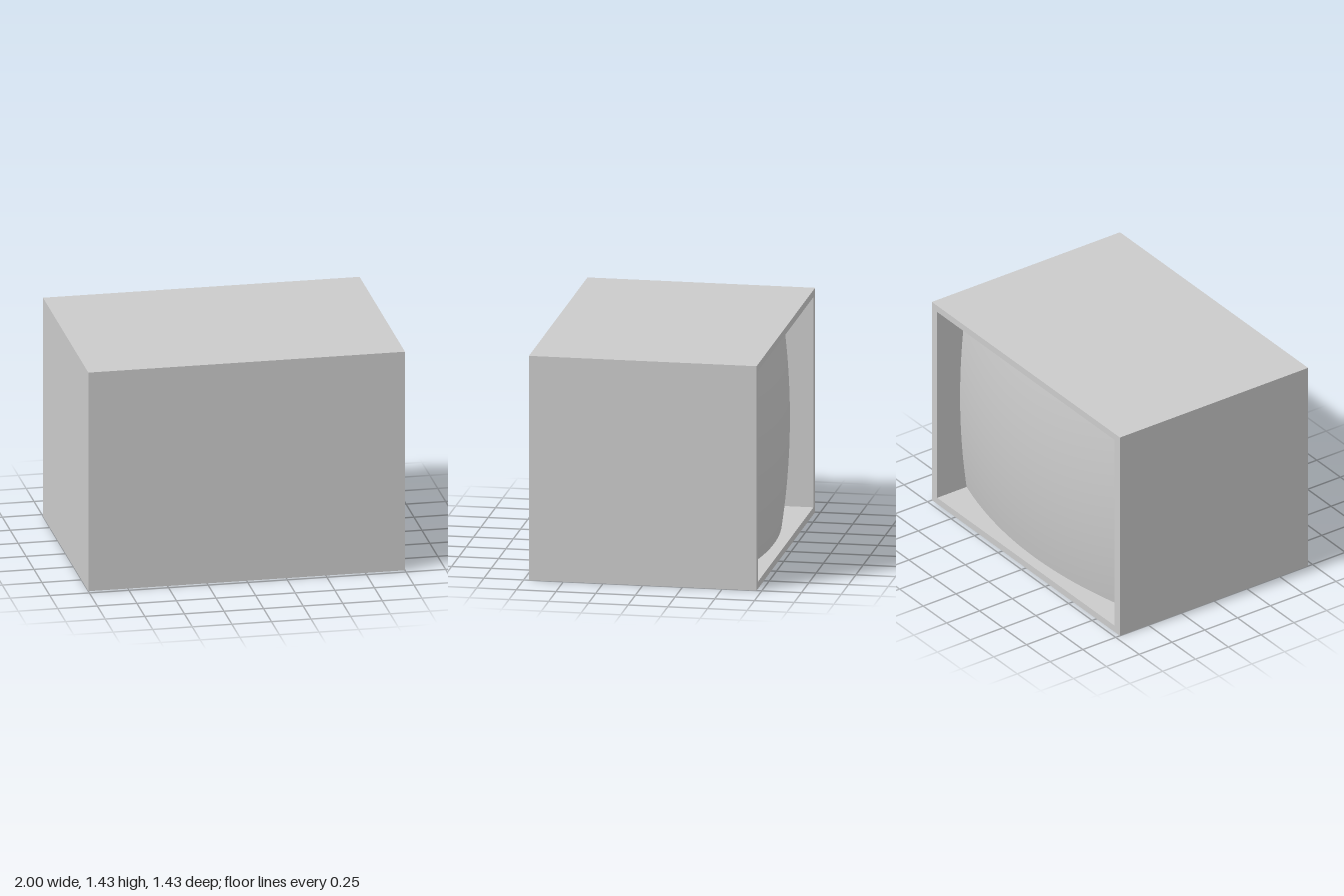
import * as THREE from 'three';

const W = 2, H = 1.434, D = 1.434;   // cabinet size
const RIM_X = 0.057, RIM_Y = 0.045;  // rim thickness around the opening
const RECESS = 0.3;                  // depth of the hollow part

function rectangle(Type, w, h) {
  const path = new Type();
  path.moveTo(-w / 2, -h / 2);
  path.lineTo(w / 2, -h / 2);
  path.lineTo(w / 2, h / 2);
  path.lineTo(-w / 2, h / 2);
  path.closePath();
  return path;
}

export function createModel() {
  const group = new THREE.Group();
  group.name = 'displayBox';
  const material = new THREE.MeshStandardMaterial({ color: 0xcccccc });

  const add = (name, geometry, z) => {
    const mesh = new THREE.Mesh(geometry, material);
    mesh.name = name;
    mesh.position.set(0, H / 2, z);
    group.add(mesh);
  };

  // Solid cabinet body, closed at the front
  add('cabinetBody', new THREE.BoxGeometry(W, H, D - RECESS), RECESS / 2);

  // Open frame at the back, surrounding the recessed screen
  const innerW = W - 2 * RIM_X, innerH = H - 2 * RIM_Y;
  const frame = rectangle(THREE.Shape, W, H);
  frame.holes.push(rectangle(THREE.Path, innerW, innerH));
  add('screenFrame', new THREE.ExtrudeGeometry(frame, { depth: RECESS, bevelEnabled: false }), -D / 2);

  // Screen bulging out towards the back, curved more across than up
  const screen = new THREE.PlaneGeometry(innerW, innerH, 40, 28).rotateY(Math.PI);
  const pos = screen.attributes.position;
  for (let i = 0; i < pos.count; i++) {
    const x = pos.getX(i), y = pos.getY(i);
    pos.setZ(i, 0.025 + 0.168 * x * x + 0.11 * y * y);
  }
  screen.computeVertexNormals();
  add('screen', screen, -D / 2);

  return group;
}
